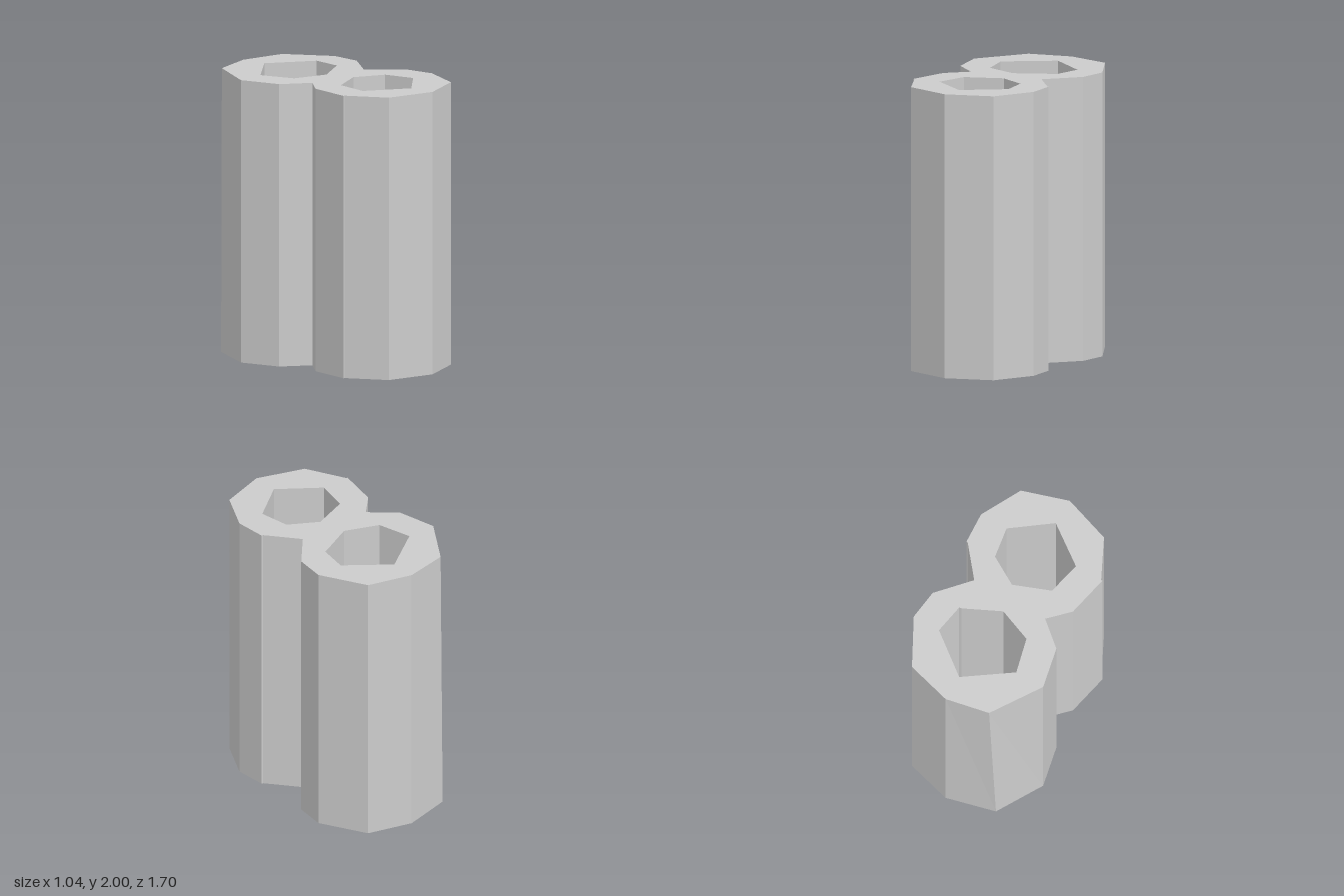
import * as THREE from 'three';

const HEIGHT = 2;

// Plan outlines as [x, z] corners: the rim clockwise, the bores anticlockwise
const outline = [
  [0.022, -0.848], [0.342, -0.76], [0.518, -0.432], [0.492, -0.216], [0.29, 0.01],
  [0.467, 0.226], [0.479, 0.23], [0.492, 0.453], [0.342, 0.743], [0.01, 0.848],
  [-0.33, 0.733], [-0.47, 0.452], [-0.48, 0.452], [-0.418, 0.152], [-0.278, 0.01],
  [-0.456, -0.142], [-0.518, -0.432], [-0.33, -0.76],
];
const backBore = [
  [-0.303, -0.432], [-0.24, -0.183], [0, -0.088], [0.262, -0.214],
  [0.279, -0.217], [0.316, -0.432], [0.022, -0.66],
];
const frontBore = [
  [-0.215, 0.213], [-0.268, 0.452], [0.012, 0.657], [0.287, 0.452],
  [0.252, 0.231], [0.237, 0.223], [0.047, 0.112],
];

const toPoints = (corners) => corners.map(([x, z]) => new THREE.Vector2(x, -z));

export function createModel() {
  const group = new THREE.Group();

  // Two joined faceted tubes with open bores
  const shape = new THREE.Shape(toPoints(outline));
  shape.holes = [backBore, frontBore].map((bore) => new THREE.Path(toPoints(bore)));
  const geometry = new THREE.ExtrudeGeometry(shape, { depth: HEIGHT, bevelEnabled: false });
  geometry.rotateX(-Math.PI / 2);

  // Slant one back edge by shifting its top corner
  const position = geometry.attributes.position;
  for (let i = 0; i < position.count; i++) {
    const atCorner = Math.hypot(position.getX(i) + 0.33, position.getZ(i) + 0.76) < 0.005;
    if (atCorner && position.getY(i) > HEIGHT / 2) {
      position.setX(i, -0.29);
      position.setZ(i, -0.786);
    }
  }
  geometry.computeVertexNormals();

  const material = new THREE.MeshStandardMaterial({ color: 0xcccccc, flatShading: true });
  const body = new THREE.Mesh(geometry, material);
  body.name = 'doubleTube';
  group.add(body);
  return group;
}
